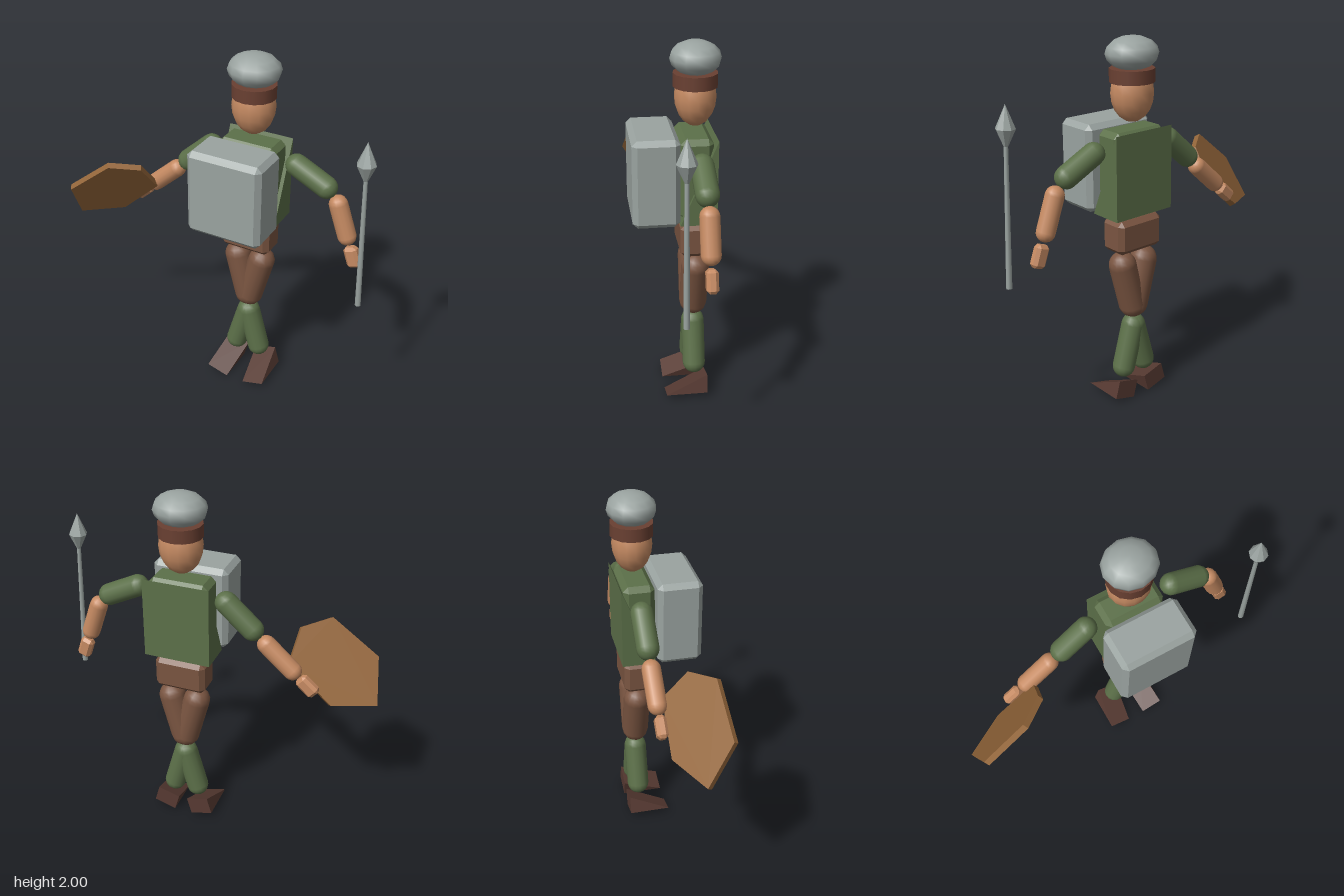
import * as THREE from 'three';
import { ConvexGeometry } from 'three/addons/geometries/ConvexGeometry.js';

const V = (x, y, z) => new THREE.Vector3(x, y, z);
const material = (color, flatShading = false) => new THREE.MeshStandardMaterial({ color, flatShading });
const GREY = material(0x9aa3a0), STEEL = material(0x9aa3a0, true);
const SKIN = material(0xc58a62), GREEN = material(0x5c7049);
const BROWN = material(0x7a5541), BAND = material(0x6a4032);
const LEATHER = material(0x573a32), WOOD = material(0x94663a);

// Body centre line
const CX = 0.165, CZ = -0.105;

export function createModel() {
  const model = new THREE.Group();

  function add(name, geometry, mat, x = 0, y = 0, z = 0) {
    const mesh = new THREE.Mesh(geometry, mat);
    mesh.name = name;
    mesh.position.set(x, y, z);
    model.add(mesh);
    return mesh;
  }

  // Box with every edge cut at 45 degrees
  function chamferBox(w, h, d, c) {
    const points = [];
    for (const x of [-1, 1]) for (const y of [-1, 1]) for (const z of [-1, 1]) {
      for (const [a, b, e] of [[0, c, c], [c, 0, c], [c, c, 0]]) {
        points.push(V(x * (w / 2 - a), y * (h / 2 - b), z * (d / 2 - e)));
      }
    }
    return new ConvexGeometry(points);
  }

  // Wedge: upright back, flat bottom, slope falling to the front
  function wedge(w, h, d) {
    const points = [];
    for (const x of [-w / 2, w / 2]) {
      points.push(V(x, -h / 2, -d / 2), V(x, h / 2, -d / 2), V(x, -h / 2, d / 2));
    }
    return new ConvexGeometry(points);
  }

  // Capsule between two centres in the body plane
  function limb(name, x1, y1, x2, y2, r, mat) {
    const dx = x1 - x2, dy = y1 - y2;
    const mesh = add(name, new THREE.CapsuleGeometry(r, Math.hypot(dx, dy), 5, 14), mat,
      (x1 + x2) / 2, (y1 + y2) / 2, CZ);
    mesh.rotation.z = Math.atan2(-dx, dy);
    return mesh;
  }

  // Head, headband and cap
  add('head', new THREE.SphereGeometry(1, 14, 10), SKIN, CX, 1.718, CZ).scale.set(0.117, 0.153, 0.107);
  add('headband', new THREE.CylinderGeometry(0.118, 0.118, 0.07, 14), BAND, CX, 1.805, CZ).scale.z = 0.97;
  add('cap', new THREE.SphereGeometry(1, 12, 8), GREY, CX, 1.913, CZ).scale.set(0.142, 0.087, 0.131);

  // Torso, back wedge, chest pack and hips
  add('torso', chamferBox(0.33, 0.435, 0.17, 0.028), GREEN, CX, 1.318, -0.098);
  add('backWedge', wedge(0.37, 0.45, 0.19), GREEN, CX, 1.31, -0.105);
  add('chestPack', chamferBox(0.422, 0.47, 0.243, 0.027), GREY, CX, 1.32, 0.113);
  add('hips', chamferBox(0.288, 0.185, 0.162, 0.026), BROWN, CX, 0.968, -0.1);

  // Legs and feet
  for (const [side, s] of [['left', 1], ['right', -1]]) {
    limb(side + 'Thigh', CX + s * 0.073, 0.792, CX + s * 0.007, 0.545, 0.075, BROWN);
    limb(side + 'Shin', CX + s * 0.004, 0.417, CX + s * 0.07, 0.18, 0.063, GREEN);
    add(side + 'Foot', wedge(0.132, 0.104, 0.23), LEATHER, CX + s * 0.103, 0.07, -0.055)
      .rotation.z = s * 0.27;
  }

  // Arms: shoulder, upper arm end, forearm ends, hand centre
  const arms = {
    left: [[0.42, 1.442], [0.59, 1.358], [0.662, 1.28], [0.723, 1.105], [0.765, 0.99]],
    right: [[-0.08, 1.435], [-0.225, 1.305], [-0.303, 1.233], [-0.448, 1.105], [-0.533, 1.03]],
  };
  for (const [side, [shoulder, elbow, foreTop, wrist, palm]] of Object.entries(arms)) {
    limb(side + 'UpperArm', ...shoulder, ...elbow, 0.06, GREEN);
    const fore = limb(side + 'Forearm', ...foreTop, ...wrist, 0.05, SKIN);
    add(side + 'Hand', chamferBox(0.075, 0.12, 0.058, 0.016), SKIN, ...palm, CZ)
      .rotation.z = fore.rotation.z;
  }

  // Shield: six-sided plate lying in one tilted plane
  const normal = V(0.63, -0.718, 1).normalize().multiplyScalar(0.017);
  const outline = [[-0.875, 0.884], [-0.832, 1.107], [-0.575, 1.305],
    [-0.436, 1.275], [-0.415, 1.12], [-0.65, 0.91]];
  const plate = outline.flatMap(([x, y]) => {
    const p = V(x, y, 0.05 - 0.63 * (x + 0.87) + 0.718 * (y - 0.88));
    return [p.clone().add(normal), p.clone().sub(normal)];
  });
  add('shield', new ConvexGeometry(plate), WOOD);

  // Spear: tapered shaft and pointed head on a shared tilt
  const spear = new THREE.Group();
  spear.name = 'spear';
  spear.position.set(0.864, 0.8, 0.03);
  spear.rotation.z = 0.037;
  const shaft = new THREE.Mesh(new THREE.CylinderGeometry(0.011, 0.016, 0.74, 8), GREY);
  shaft.name = 'spearShaft';
  shaft.position.y = 0.37;
  const profile = [[0.011, 0.73], [0.05, 0.817], [0, 0.935]].map(([r, y]) => new THREE.Vector2(r, y));
  const tip = new THREE.Mesh(new THREE.LatheGeometry(profile, 8), STEEL);
  tip.name = 'spearHead';
  spear.add(shaft, tip);
  model.add(spear);

  return model;
}
